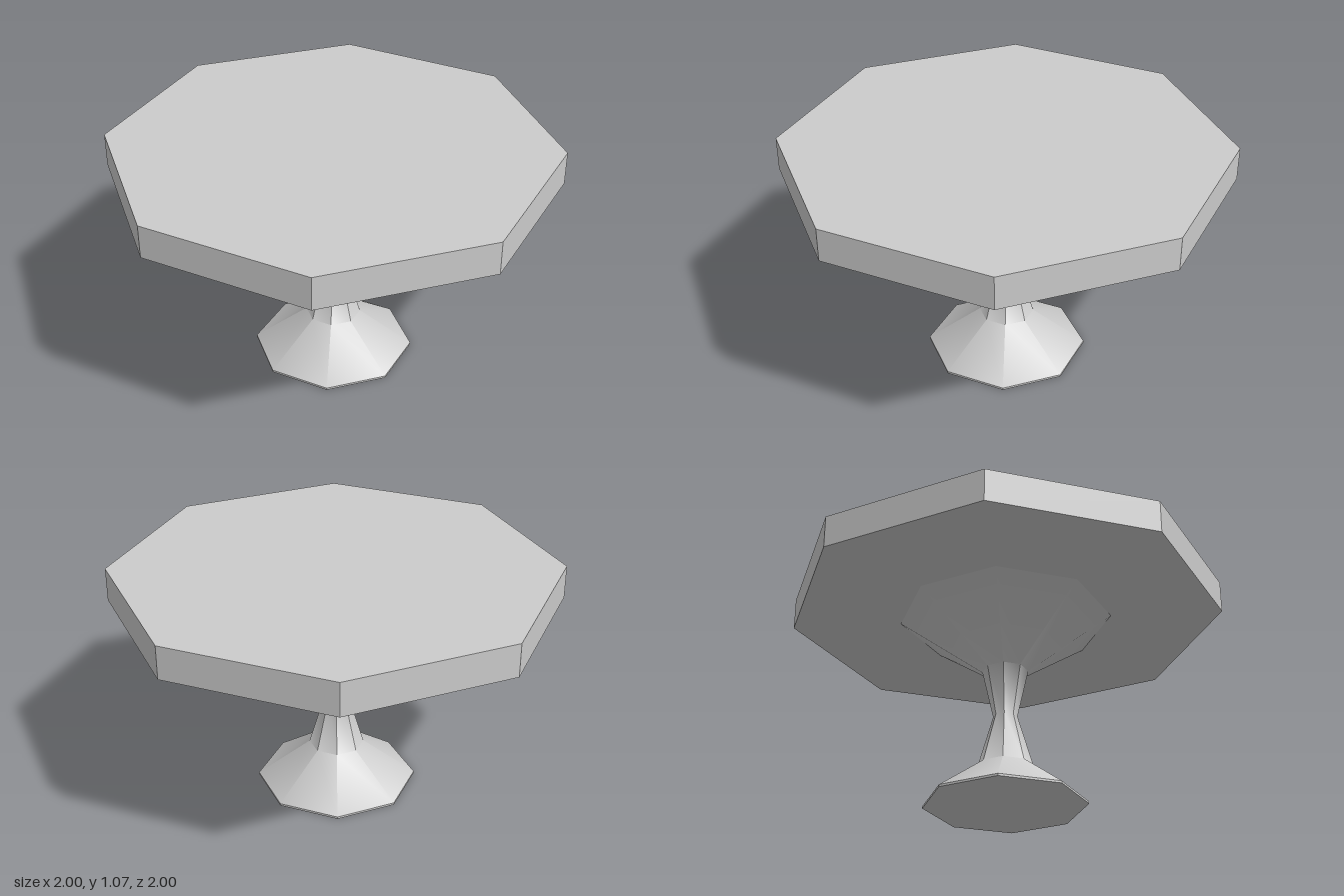
import * as THREE from 'three';
import { toCreasedNormals } from 'three/addons/utils/BufferGeometryUtils.js';

const SIDES = 8;

export function createModel() {
  const group = new THREE.Group();
  group.name = 'pedestalTable';

  // Octagonal slab with corners on the x and z axes
  const bottom = 0.92, top = 1.07;
  const tabletop = new THREE.Mesh(
    new THREE.CylinderGeometry(1, 1, top - bottom, SIDES),
    new THREE.MeshStandardMaterial({ color: 0xcccccc, flatShading: true })
  );
  tabletop.name = 'tabletop';
  tabletop.position.y = (top + bottom) / 2;
  group.add(tabletop);

  // Pedestal: flared foot, pinched neck and wide support (radius, height)
  const profile = [
    [0, 0], [0.365, 0], [0.365, 0.01], [0.125, 0.185],
    [0.055, 0.425], [0.105, 0.65], [0.49, bottom],
  ].map(([r, y]) => new THREE.Vector2(r, y));
  const pedestal = new THREE.Mesh(
    toCreasedNormals(new THREE.LatheGeometry(profile, SIDES), THREE.MathUtils.degToRad(42.5)),
    new THREE.MeshStandardMaterial({ color: 0xcccccc })
  );
  pedestal.name = 'pedestal';
  group.add(pedestal);

  return group;
}
